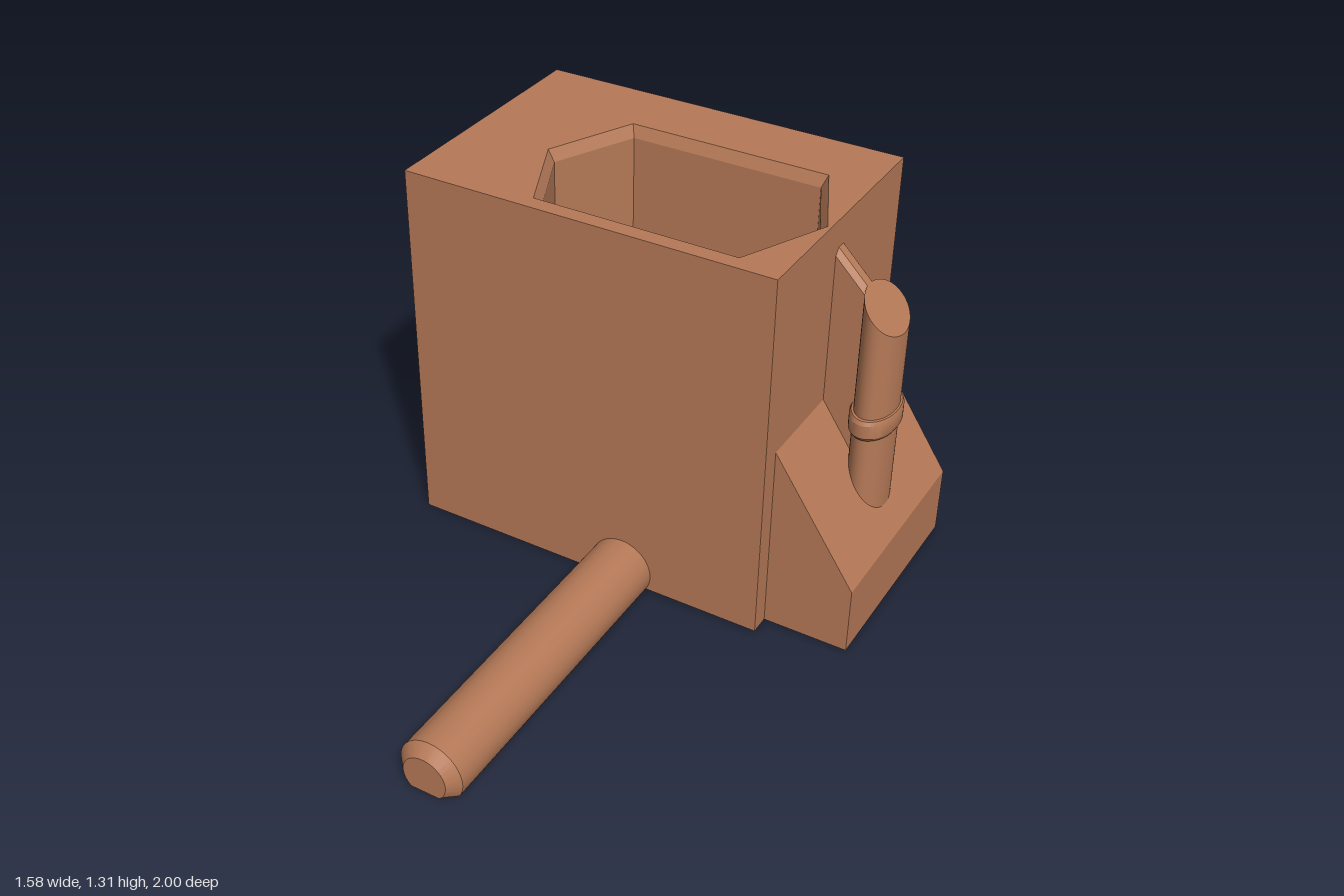
import * as THREE from 'three';
import { toCreasedNormals } from 'three/addons/utils/BufferGeometryUtils.js';

export function createModel() {
  const clay = new THREE.MeshStandardMaterial({ color: 0xb57957, side: THREE.DoubleSide });
  clay.name = 'terracotta';
  const model = new THREE.Group();
  model.name = 'modularHolder';

  const add = (name, geometry, parent = model) => {
    const mesh = new THREE.Mesh(toCreasedNormals(geometry, 0.5), clay);
    mesh.name = name;
    parent.add(mesh);
    return mesh;
  };
  const v2 = (list) => list.map(([a, b]) => new THREE.Vector2(a, b));
  const rect = (a0, b0, a1, b1) => v2([[a0, b0], [a1, b0], [a1, b1], [a0, b1]]);

  // move every vertex of a geometry by a rule
  const warp = (geometry, rule) => {
    const p = geometry.attributes.position;
    for (let i = 0; i < p.count; i++) p.setXYZ(i, ...rule(p.getX(i), p.getY(i), p.getZ(i)));
    return geometry;
  };
  // flat outline placed in space, with an optional hole
  const face = (outline, place, flip = false, hole = null) => {
    const shape = new THREE.Shape(outline);
    if (hole) shape.holes.push(new THREE.Path(hole));
    const g = warp(new THREE.ShapeGeometry(shape), place);
    if (flip) g.index.array.reverse();
    return g;
  };
  // ruled strip between two placements of one outline
  const wall = (points, placeA, placeB, closed = true) => {
    const pos = [];
    const n = closed ? points.length : points.length - 1;
    for (let i = 0; i < n; i++) {
      const p = points[i], q = points[(i + 1) % points.length];
      const a0 = placeA(p.x, p.y, i), a1 = placeA(q.x, q.y, (i + 1) % points.length);
      const b0 = placeB(p.x, p.y, i), b1 = placeB(q.x, q.y, (i + 1) % points.length);
      pos.push(...a0, ...a1, ...b1, ...a0, ...b1, ...b0);
    }
    const g = new THREE.BufferGeometry();
    g.setAttribute('position', new THREE.Float32BufferAttribute(pos, 3));
    return g;
  };

  // main dimensions
  const X0 = -0.79, X1 = 0.5, Z0 = -1, Z1 = -0.117, H = 1.31, ZC = -0.555;
  const S0 = -0.95, S1 = -0.165, SX = -0.5, SY = 0.69;      // side socket
  const slot = 0.067, slotTop = 1.24;
  const ceiling = (x) => SY - (x - X0) * (0.43 / 0.29);
  const slotCap = (x) => slotTop - (x - X0);

  // hexagonal bore and its wider rim
  const hexagon = (tip, flat, half) => v2([
    [tip, -0.47], [flat, -0.47 + half], [-flat, -0.47 + half],
    [-tip, -0.47], [-flat, -0.47 - half], [flat, -0.47 - half]]);
  const bore = hexagon(0.465, 0.335, 0.28);
  const rim = hexagon(0.487, 0.35, 0.298);

  // keyhole outline in x, y
  const keyShape = new THREE.Shape();
  const open = Math.asin(0.108 / 0.18);
  keyShape.absarc(0, 0.66, 0.18, Math.PI / 2 + open, Math.PI * 2.5 - open, false);
  keyShape.absarc(0, 0.995, 0.108, 0, Math.PI, false);
  const keyhole = keyShape.getPoints(24);

  // pin channel outline in x, z: narrow slot opening into an ellipse
  const channel = v2([[X0, ZC - slot]]);
  const mouth = Math.PI - Math.asin(slot / 0.135);
  for (let i = 0; i <= 32; i++) {
    const t = -mouth + (2 * mouth * i) / 32;
    channel.push(new THREE.Vector2(-0.62 + 0.085 * Math.cos(t), ZC + 0.135 * Math.sin(t)));
  }
  channel.push(new THREE.Vector2(X0, ZC + slot));

  // block shell
  const block = new THREE.Group();
  block.name = 'block';
  model.add(block);
  add('blockFront', face(rect(X0, 0, X1, H), (x, y) => [x, y, Z1]), block);
  add('blockRightSide', face(rect(Z0, 0, Z1, H), (z, y) => [X1, y, z], true), block);
  add('blockBack', face(rect(X0, 0, X1, H), (x, y) => [x, y, Z0], true, keyhole), block);
  add('blockTop', face(rect(X0, Z0, X1, Z1), (x, z) => [x, H, z], true, rim), block);
  add('blockBottom', face(v2([[X0, Z0], [X1, Z0], [X1, Z1], [X0, Z1],
    [X0, S1], [SX, S1], [SX, S0], [X0, S0]]), (x, z) => [x, 0, z], false, bore), block);
  add('blockSocketSide', face(v2([[Z0, 0], [S0, 0], [S0, SY], [ZC - slot, SY],
    [ZC - slot, slotTop], [ZC + slot, slotTop], [ZC + slot, SY], [S1, SY], [S1, 0],
    [Z1, 0], [Z1, H], [Z0, H]]), (z, y) => [X0, y, z]), block);

  // bore walls and bevelled rim
  const rimY = H - 0.04;
  add('boreWalls', wall(bore, (x, z) => [x, 0, z], (x, z) => [x, rimY, z]), block);
  add('boreRim', wall(bore, (x, z) => [x, rimY, z],
    (x, z, i) => [rim[i].x, H, rim[i].y]), block);

  // keyhole pocket
  const pocketZ = Z0 + 0.14;
  add('keyholeWalls', wall(keyhole, (x, y) => [x, y, pocketZ], (x, y) => [x, y, Z0]), block);
  add('keyholeFloor', face(keyhole, (x, y) => [x, y, pocketZ], true), block);

  // wedge-shaped socket with the pin channel above it
  const cheek = v2([[X0, 0], [SX, 0], [SX, ceiling(SX)], [X0, SY]]);
  add('socketFrontCheek', face(cheek, (x, y) => [x, y, S1], true), block);
  add('socketBackCheek', face(cheek, (x, y) => [x, y, S0]), block);
  add('socketInnerWall', face(rect(S0, 0, S1, ceiling(SX)), (z, y) => [SX, y, z]), block);
  add('socketCeiling', face([...rect(X0, S0, SX, S1), ...channel.slice().reverse()],
    (x, z) => [x, ceiling(x), z]), block);
  add('channelWalls', wall(channel, (x, z) => [x, ceiling(x), z],
    (x, z) => [x, slotCap(x), z], false), block);
  add('channelCap', face(channel, (x, z) => [x, slotCap(x), z]), block);

  // wedge on the opposite side
  const wedge = new THREE.ExtrudeGeometry(
    new THREE.Shape(v2([[X1, 0], [0.79, 0], [0.79, 0.24], [X1, 0.67]])),
    { depth: 0.74, bevelEnabled: false });
  add('wedge', wedge.translate(0, 0, -0.925));

  // oval pin with a sloping top, its collar and the web joining it to the block
  const pinX = 0.667, oval = 0.61;
  const pin = new THREE.CylinderGeometry(0.107, 0.107, 1, 48).scale(oval, 1, 1).translate(pinX, 0, ZC);
  add('pin', warp(pin, (x, y, z) => [x, y > 0 ? 1.21 - (x - X1) : 0.22, z]));

  const collar = new THREE.LatheGeometry(
    v2([[0.1, 0.615], [0.115, 0.622], [0.125, 0.635], [0.125, 0.682], [0.117, 0.695], [0.1, 0.697]]), 48);
  add('collar', collar.scale(oval, 1, 1).translate(pinX, 0, ZC));

  const web = new THREE.ExtrudeGeometry(
    new THREE.Shape(v2([[-0.036, 0.4], [0.036, 0.4], [0.036, 1.19], [0.016, 1.21], [-0.016, 1.21], [-0.036, 1.19]])),
    { depth: 0.13, bevelEnabled: false });
  web.rotateY(Math.PI / 2).translate(X1, 0, ZC);
  add('web', warp(web, (x, y, z) => [x, y > 1 ? y - (x - X1) : y, z]));

  // long peg, flattened underneath, with a bevelled tip
  const peg = new THREE.LatheGeometry(v2([[0.11, Z1 - 0.02], [0.11, 0.963], [0.075, 1], [0, 1]]), 64);
  peg.rotateX(Math.PI / 2).translate(0, 0.056, 0);
  add('peg', warp(peg, (x, y, z) => [x, Math.max(0, y), z]));

  return model;
}
